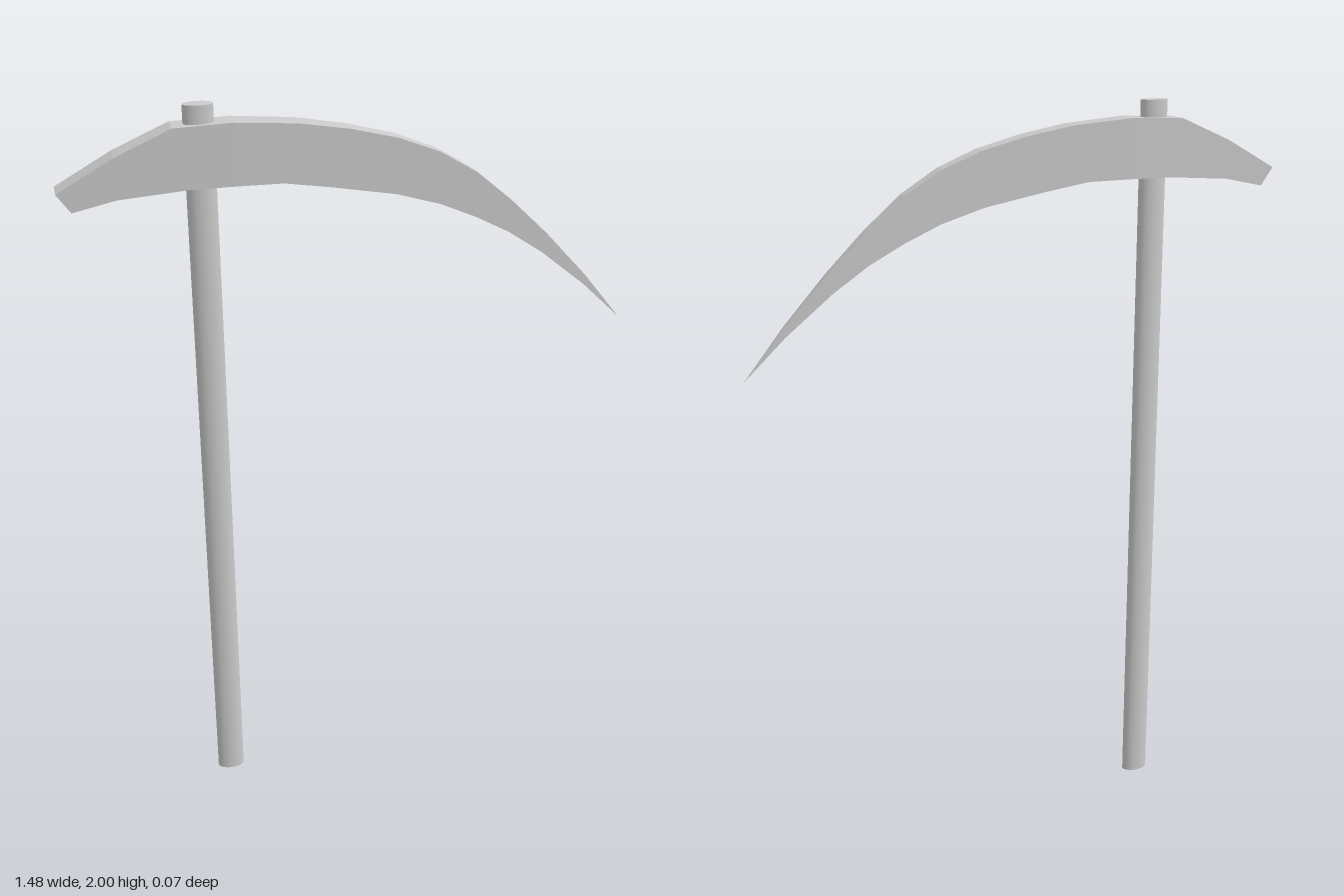
import * as THREE from 'three';

const material = () => new THREE.MeshStandardMaterial({ color: 0xcccccc });

// Oval shaft
function createHandle() {
  const handle = new THREE.Mesh(new THREE.CylinderGeometry(1, 1, 2, 32), material());
  handle.name = 'handle';
  handle.geometry.scale(0.038, 1, 0.023);
  handle.position.set(-0.39, 1, 0);
  return handle;
}

// Half thickness: constant on the blunt side, tapering to nothing at the tip
function halfThickness(x) {
  const t = THREE.MathUtils.clamp((x + 0.38) / 1.118, 0, 1);
  return 0.034 * (1 - Math.pow(t, 1.4));
}

// Curved head: rectangular cross-sections between the upper and lower edges
function createHead() {
  const upper = [
    [-0.743, 1.81], [-0.6, 1.89], [-0.458, 1.952], [-0.31, 1.957], [-0.15, 1.945],
    [-0.02, 1.923], [0.103, 1.892], [0.21, 1.85], [0.31, 1.79], [0.41, 1.706],
    [0.51, 1.61], [0.627, 1.484], [0.738, 1.349],
  ];
  const lower = [
    [-0.709, 1.762], [-0.6, 1.786], [-0.43, 1.799], [-0.31, 1.8], [-0.19, 1.799],
    [-0.07, 1.78], [0.098, 1.749], [0.214, 1.714], [0.31, 1.672], [0.405, 1.622],
    [0.5, 1.558], [0.627, 1.455], [0.738, 1.349],
  ];
  const positions = [];
  const index = [0, 1, 2, 0, 2, 3]; // blunt end face
  upper.forEach(([ux, uy], i) => {
    const [lx, ly] = lower[i];
    const u = halfThickness(ux), l = halfThickness(lx);
    positions.push(ux, uy, u, ux, uy, -u, lx, ly, -l, lx, ly, l);
    if (i === upper.length - 1) return;
    for (let k = 0; k < 4; k++) {
      const a = i * 4 + k, b = i * 4 + ((k + 1) % 4);
      index.push(a, a + 4, b, b, a + 4, b + 4);
    }
  });
  const indexed = new THREE.BufferGeometry();
  indexed.setAttribute('position', new THREE.Float32BufferAttribute(positions, 3));
  indexed.setIndex(index);
  const geometry = indexed.toNonIndexed();
  geometry.computeVertexNormals();
  const mat = material();
  mat.flatShading = true;
  const head = new THREE.Mesh(geometry, mat);
  head.name = 'curvedHead';
  return head;
}

export function createModel() {
  const group = new THREE.Group();
  group.name = 'pick';
  group.add(createHandle(), createHead());
  return group;
}
